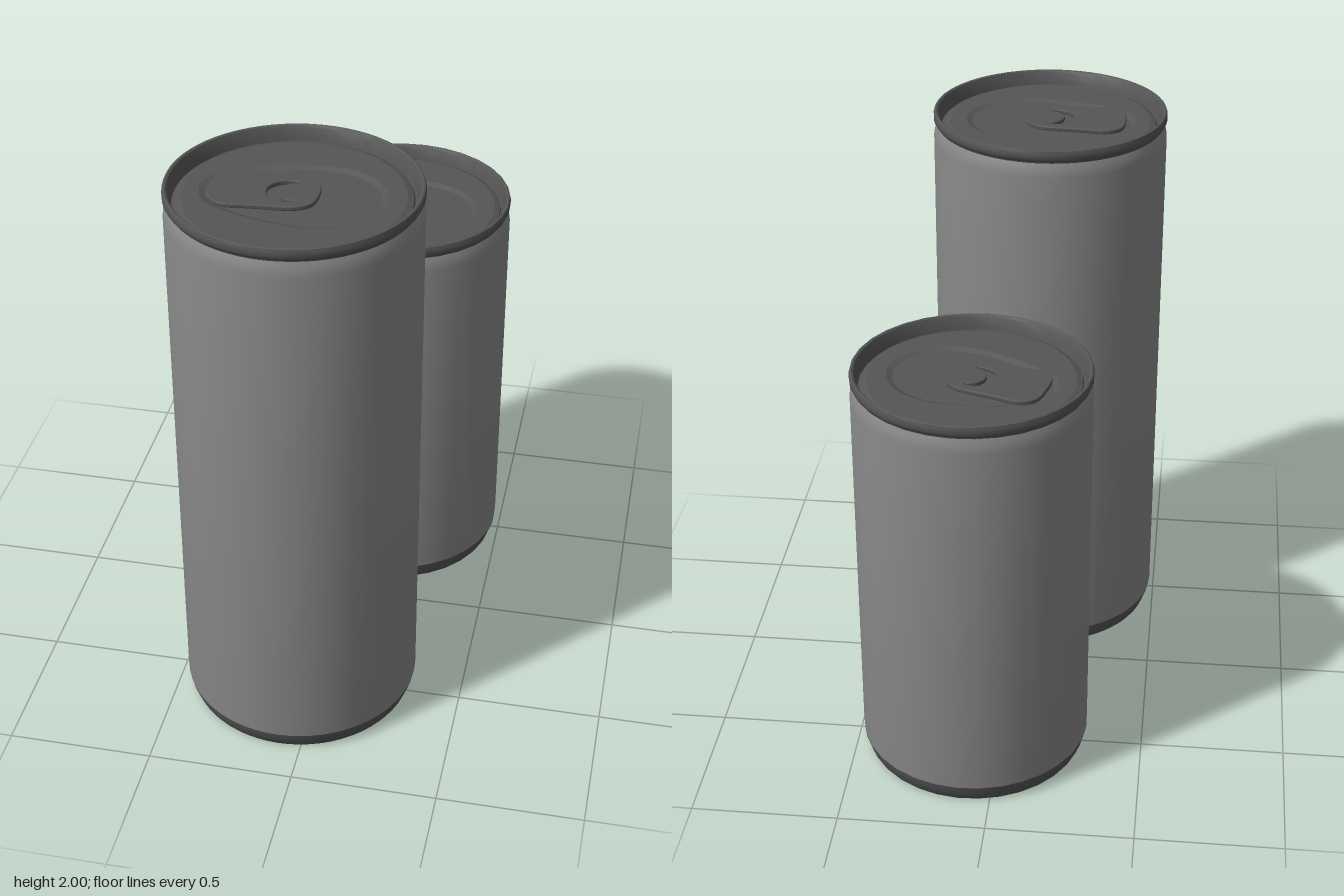
import * as THREE from 'three';
import { toCreasedNormals } from 'three/addons/utils/BufferGeometryUtils.js';

const wallMaterial = new THREE.MeshStandardMaterial({ color: 0x888888 });
const endMaterial = new THREE.MeshStandardMaterial({ color: 0x555555 });
const R = 0.408; // radius the can is designed at

function add(group, name, geometry, material) {
  const mesh = new THREE.Mesh(geometry, material);
  mesh.name = name;
  group.add(mesh);
}

function lathe(points, segments) {
  const profile = points.map(([r, y]) => new THREE.Vector2(r, y));
  return toCreasedNormals(new THREE.LatheGeometry(profile, segments), 0.5);
}

// Smooth closed outline mirrored across the x axis; first and last points lie on it
function mirroredOutline(half, Type) {
  const points = [...half, ...half.slice(1, -1).reverse().map(([x, y]) => [x, -y])];
  const curve = new THREE.CatmullRomCurve3(
    points.map(([x, y]) => new THREE.Vector3(x, y, 0)), true, 'centripetal');
  return new Type(curve.getPoints(72).slice(0, -1).map((p) => new THREE.Vector2(p.x, p.y)));
}

// Horizontal plate with sloped edges (rise x run), its underside at y
function plate(shape, thickness, rise, run, bevelSegments, y) {
  const geometry = new THREE.ExtrudeGeometry(shape, {
    depth: thickness - 2 * rise, curveSegments: 32, bevelEnabled: true,
    bevelThickness: rise, bevelSize: run, bevelOffset: -run, bevelSegments,
  });
  geometry.rotateX(-Math.PI / 2).translate(0, y + rise, 0);
  return toCreasedNormals(geometry, 0.3);
}

// Raised lid panel with a soft egg-shaped recess
function panelShape() {
  const shape = new THREE.Shape().absarc(0, 0, 0.37, 0, Math.PI * 2, false);
  shape.holes.push(mirroredOutline([[-0.282, 0], [-0.25, 0.083], [-0.18, 0.123],
    [-0.07, 0.16], [0.07, 0.182], [0.17, 0.16], [0.245, 0.095], [0.275, 0]], THREE.Path));
  return shape;
}

// Pull tab with a finger hole and a crescent cut around the rivet tongue
function tabShape() {
  const shape = mirroredOutline([[-0.265, 0], [-0.255, 0.08], [-0.21, 0.113],
    [-0.12, 0.108], [0.03, 0.092], [0.07, 0.06], [0.08, 0]], THREE.Shape);
  const finger = mirroredOutline([[-0.225, 0], [-0.215, 0.06], [-0.18, 0.08],
    [-0.14, 0.078], [-0.112, 0.055], [-0.105, 0]], THREE.Path);
  const crescent = new THREE.Path();
  crescent.absarc(-0.02, 0, 0.067, 1.22, Math.PI * 2 - 1.22, false);
  crescent.absarc(0.005, 0, 0.055, Math.PI * 1.5, Math.PI * 0.5, true);
  shape.holes.push(finger, crescent);
  return shape;
}

function createCan(name, radius, h, segments) {
  const can = new THREE.Group();
  can.name = name;
  const floor = h - 0.048;

  // Flat bottom with a tapered foot
  add(can, 'base', lathe([[0, 0], [0.383, 0], [0.389, 0.008], [0.403, 0.045],
    [R - 0.001, 0.063]], segments), endMaterial);

  // Straight wall with a rounded shoulder
  add(can, 'body', lathe([[R - 0.001, 0.063], [R, 0.07], [R, h - 0.095], [0.406, h - 0.078],
    [0.402, h - 0.062], [0.396, h - 0.047]], segments), wallMaterial);

  // Neck, rolled rim, groove and recessed lid floor
  add(can, 'rim', lathe([[0.396, h - 0.047], [0.397, h - 0.043], [0.404, h - 0.036],
    [R, h - 0.028], [R, h - 0.01], [0.405, h - 0.002], [0.4, h], [0.394, h - 0.003],
    [0.39, h - 0.01], [0.383, h - 0.046], [0.38, h - 0.056], [0.374, h - 0.056],
    [0.369, floor], [0, floor]], segments), endMaterial);

  add(can, 'lidPanel', plate(panelShape(), 0.017, 0.008, 0.02, 1, floor - 0.009), endMaterial);
  add(can, 'pullTab', plate(tabShape(), 0.016, 0.004, 0.004, 2, floor + 0.002), endMaterial);

  can.scale.set(radius / R, 1, radius / R);
  return can;
}

export function createModel() {
  const model = new THREE.Group();
  model.name = 'cans';

  const tall = createCan('tallCan', 0.408, 2, 64);
  tall.position.set(-0.078, 0, 0.467);

  const short = createCan('shortCan', 0.396, 1.47, 32);
  short.position.set(0.09, 0, -0.483);
  short.rotation.y = -0.25;

  model.add(tall, short);
  return model;
}
